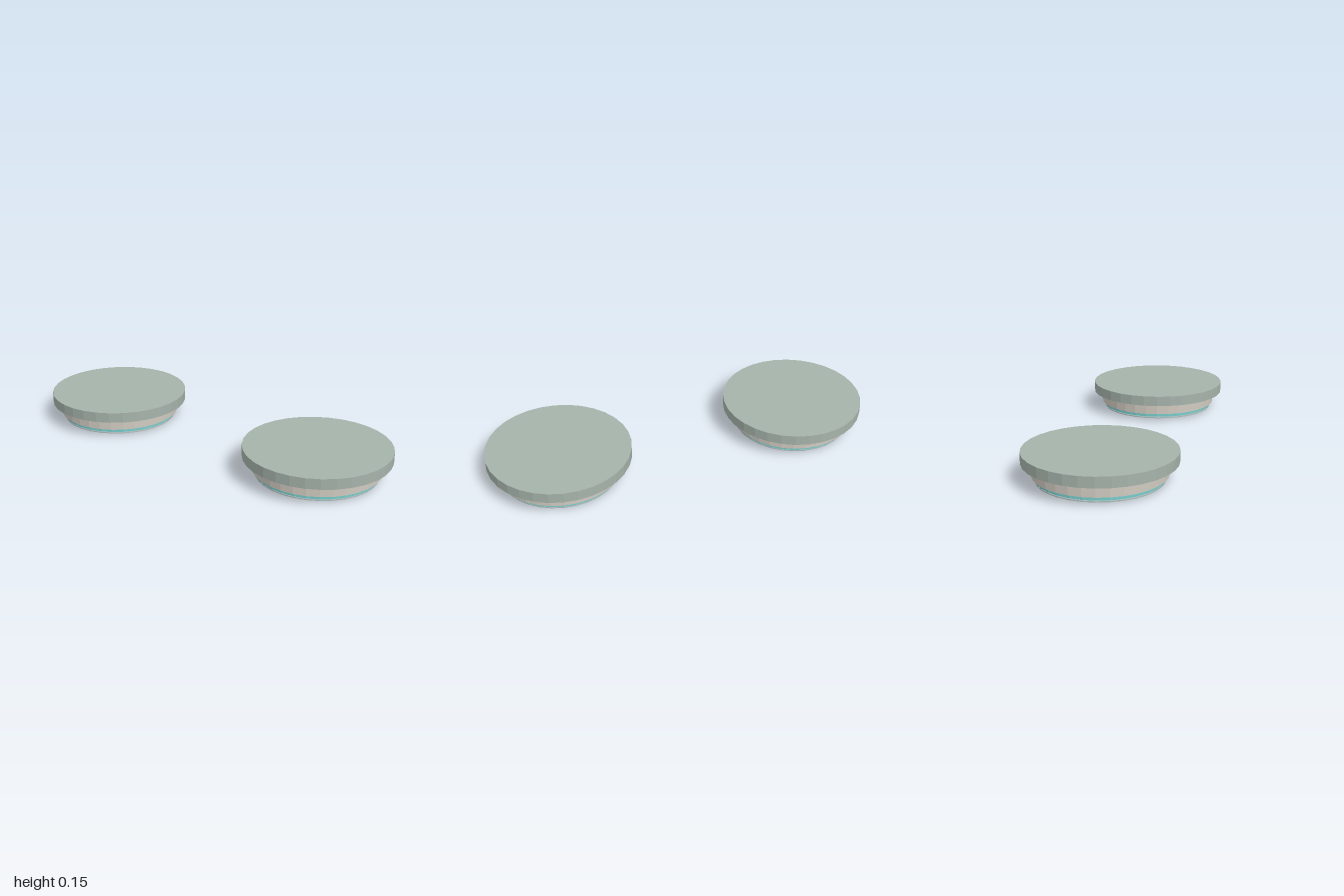
import * as THREE from 'three';

const SIDES = 32;

function material(name, color) {
  const m = new THREE.MeshStandardMaterial({ color, flatShading: true });
  m.name = name;
  return m;
}

// Solid disc between two heights
function disc(name, radius, y0, y1, mat) {
  const geometry = new THREE.CylinderGeometry(radius, radius, y1 - y0, SIDES);
  geometry.translate(0, (y0 + y1) / 2, 0);
  const mesh = new THREE.Mesh(geometry, mat);
  mesh.name = name;
  return mesh;
}

// Flat-sided ring with a square section, open in the middle
function ring(name, inner, outer, y0, y1, mat) {
  const section = [[inner, y0], [outer, y0], [outer, y1], [inner, y1], [inner, y0]];
  const geometry = new THREE.LatheGeometry(section.map(([r, y]) => new THREE.Vector2(r, y)), SIDES);
  const mesh = new THREE.Mesh(geometry, mat);
  mesh.name = name;
  return mesh;
}

export function createModel() {
  const sage = material('sage', 0xa5b3aa);
  const stone = material('warm stone', 0xd0cac0);
  const teal = material('teal', 0x78cccc);
  const silver = material('silver grey', 0xb0bfbd);
  const slate = material('slate', 0x5f6d72);

  const model = new THREE.Group();
  model.name = 'discPair';

  for (const side of [1, -1]) {
    const stack = new THREE.Group();
    stack.name = side > 0 ? 'leftDiscStack' : 'rightDiscStack';
    stack.position.x = side * 0.637;
    stack.add(
      disc('topPlate', 0.363, 0.0945, 0.147, sage),
      ring('bodyRing', 0.22, 0.317, 0.035, 0.0835, stone),
      ring('accentRing', 0.22, 0.303, 0.0165, 0.033, teal),
      ring('baseRing', 0.22, 0.3, 0.0065, 0.0125, silver),
      disc('hub', 0.1, 0, 0.045, slate),
    );
    model.add(stack);
  }
  return model;
}
